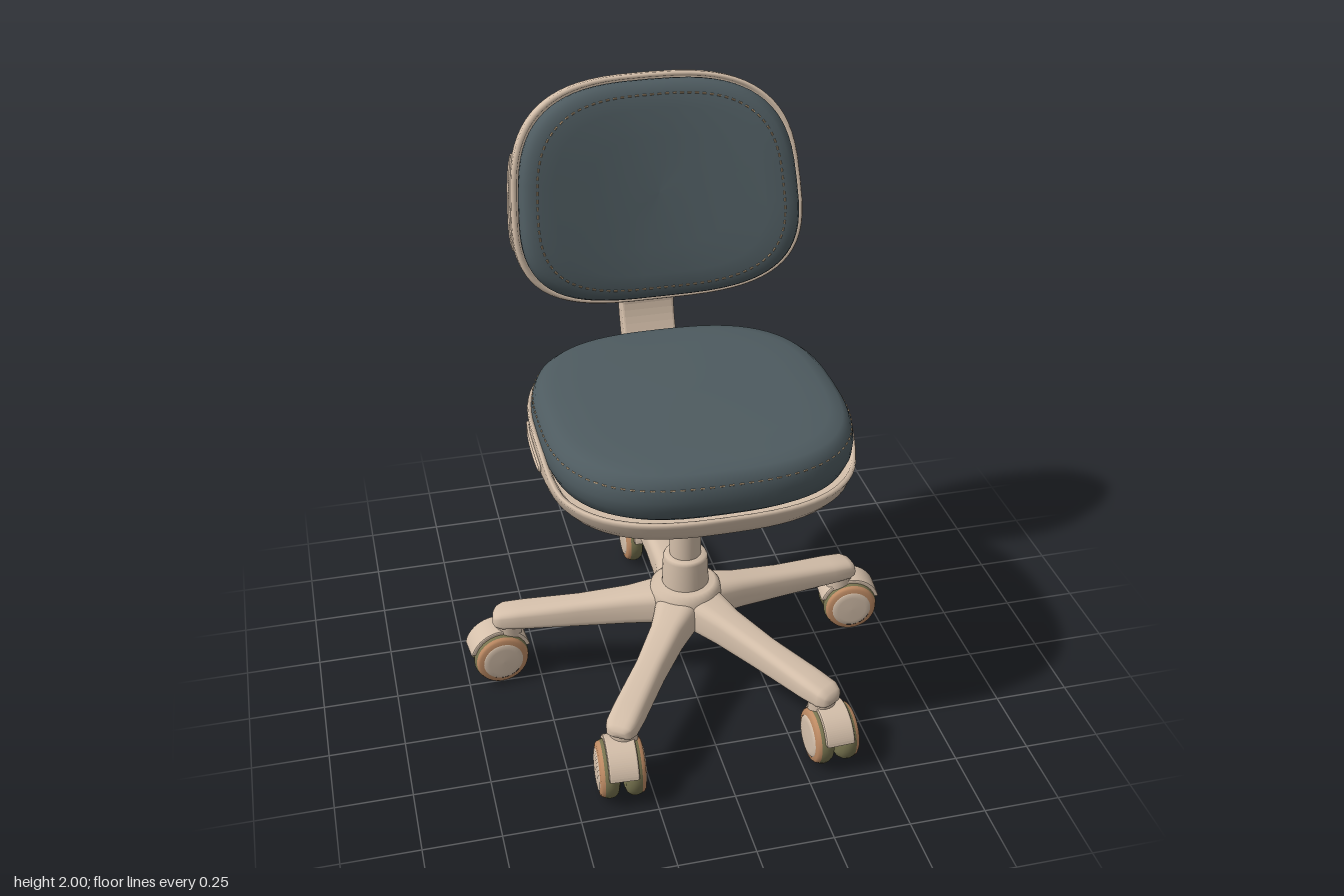
import * as THREE from 'three';
import { mergeGeometries } from 'three/addons/utils/BufferGeometryUtils.js';

const mat = (name, color) => new THREE.MeshStandardMaterial({ name, color });
const V = (x, y, z) => new THREE.Vector3(x, y, z);
const spow = (v, p) => Math.sign(v) * Math.pow(Math.abs(v), p);

export function createModel() {
  const beige = mat('beige plastic', 0xd4bfaa);
  const fabric = mat('slate fabric', 0x4e5b60);
  const orange = mat('orange grip', 0xb96d45);
  const olive = mat('olive tyre', 0x77734f);
  const tan = mat('tan rim', 0xbd8a63);
  const thread = mat('tan thread', 0xb59c7c);
  const root = new THREE.Group();
  root.name = 'deskChair';

  const add = (parent, name, geo, material, pos = [0, 0, 0], rot = [0, 0, 0]) => {
    const m = new THREE.Mesh(geo, material);
    m.name = name;
    m.position.set(...pos);
    m.rotation.set(...rot);
    parent.add(m);
    return m;
  };
  const lathe = (pts, seg = 36) =>
    new THREE.LatheGeometry(pts.map(([r, y]) => new THREE.Vector2(r, y)), seg);

  // Skin through closed rings; fn(ring, angle) gives a point
  const loft = (rings, fn, seg = 72) => {
    const pos = [], idx = [];
    rings.forEach((r, i) => {
      for (let j = 0; j < seg; j++) {
        pos.push(...fn(r, (j / seg) * Math.PI * 2));
        if (i === rings.length - 1) continue;
        const a = i * seg + j, b = i * seg + ((j + 1) % seg);
        idx.push(a, a + seg, b, b, a + seg, b + seg);
      }
    });
    const g = new THREE.BufferGeometry();
    g.setAttribute('position', new THREE.Float32BufferAttribute(pos, 3));
    g.setIndex(idx);
    g.computeVertexNormals();
    return g;
  };

  // Row of short thread dashes along a ring of a pad
  const stitches = (fn, ring, count) => {
    const path = [];
    for (let i = 0; i < 96; i++) path.push(V(...fn(ring, (i / 96) * Math.PI * 2)));
    const pts = new THREE.CatmullRomCurve3(path, true).getSpacedPoints(count * 2);
    const parts = [];
    for (let i = 0; i < count * 2; i += 2) {
      parts.push(new THREE.TubeGeometry(new THREE.LineCurve3(pts[i], pts[i + 1]), 1, 0.003, 4));
    }
    return mergeGeometries(parts);
  };

  // Raised rim of a side slot, following the shell wall
  const slot = (fn, n, mid, half, h, halfH, side) => {
    const path = [];
    for (let i = 0; i < 40; i++) {
      const a = (i / 40) * Math.PI * 2;
      const t = Math.asin(spow(mid + half * spow(Math.cos(a), 0.7), n / 2));
      path.push(V(...fn([1, h + halfH * spow(Math.sin(a), 0.5)], side > 0 ? t : Math.PI - t)));
    }
    return new THREE.TubeGeometry(new THREE.CatmullRomCurve3(path, true), 80, 0.005, 6, true);
  };

  // ---- Seat ----
  const seat = new THREE.Group();
  seat.name = 'seat';
  root.add(seat);
  const seatFn = (a, b) => ([s, h], t) => {
    const z = 0.13 + b * s * spow(Math.sin(t), 2 / 2.8);
    // the rim (h = 'rim' height offset above 2) is low at the front and high behind
    const rim = 0.99 + 0.075 * (1 - THREE.MathUtils.smoothstep(z, 0.18, 0.42));
    return [a * s * spow(Math.cos(t), 2 / 2.8), h > 1.5 ? rim + h - 2 : h, z];
  };
  const shellFn = seatFn(0.505, 0.5);
  add(seat, 'seatShell', loft([[0, 0.9], [0.6, 0.9], [0.85, 0.903], [0.93, 0.915], [0.97, 0.94],
    [0.99, 0.97], [1, 1.99], [0.995, 2], [0.975, 2], [0.96, 1.985], [0.93, 0.96], [0, 0.96]], shellFn), beige);
  const padFn = seatFn(0.492, 0.493);
  add(seat, 'seatCushion', loft([[0, 0.965], [0.9, 0.97], [0.965, 0.995], [0.995, 1.03], [1, 1.06], [0.993, 1.09],
    [0.97, 1.118], [0.93, 1.135], [0.85, 1.146], [0.65, 1.152], [0, 1.154]], padFn), fabric);
  add(seat, 'seatStitching', stitches(padFn, [0.986, 1.1], 110), thread);
  for (const s of [1, -1]) add(seat, 'seatSlotRim', slot(shellFn, 2.8, -0.08, 0.28, 0.995, 0.016, s), beige);

  // ---- Backrest: lofted flat, then stood up and tilted ----
  const back = new THREE.Group();
  back.name = 'backrest';
  back.position.set(0, 1.612, -0.48);
  back.rotation.x = Math.PI / 2 - 0.22;
  root.add(back);
  const backFn = (a, b) => ([s, h], t) => {
    const v = spow(Math.sin(t), 2 / 3) * s;
    const x = a * s * spow(Math.cos(t), 2 / 3) * (1 + 0.05 * v);
    return [x, h + 0.3 * x * x + (h > 0.1 ? 0.15 * (h - 0.06) * v : 0), b * v];
  };
  const backShell = backFn(0.478, 0.37);
  add(back, 'backShell', loft([[0, 0], [0.25, 0], [0.5, 0], [0.72, 0], [0.87, 0.008], [0.94, 0.025], [0.98, 0.05],
    [1, 0.08], [1, 0.12], [0.99, 0.13], [0.965, 0.13], [0.95, 0.11], [0.5, 0.1], [0, 0.1]], backShell), beige);
  const backPad = backFn(0.457, 0.352);
  add(back, 'backCushion', loft([[0.5, 0.105], [0.95, 0.11], [1, 0.135], [1, 0.155], [0.98, 0.175], [0.94, 0.19],
    [0.88, 0.199], [0.75, 0.205], [0.5, 0.206], [0.25, 0.206], [0, 0.206]], backPad), fabric);
  add(back, 'backStitching', stitches(backPad, [0.88, 0.2], 100), thread);
  for (const s of [1, -1]) add(back, 'backSlotRim', slot(backShell, 3, 0, 0.41, 0.078, 0.017, s), beige);

  // ---- Support bar from under the seat to the backrest ----
  const barPath = new THREE.CatmullRomCurve3([[0.1, 0.895], [-0.15, 0.893], [-0.32, 0.897], [-0.4, 0.935], [-0.45, 1.02],
    [-0.495, 1.13], [-0.503, 1.2], [-0.475, 1.29], [-0.46, 1.37], [-0.475, 1.52], [-0.492, 1.66]]
    .map(([z, y]) => V(z, y, 0)), false, 'centripetal');
  const left = [], right = [];
  for (let i = 0; i <= 48; i++) {
    const p = barPath.getPointAt(i / 48), d = barPath.getTangentAt(i / 48);
    const w = i > 34 ? 0.018 : 0.027;
    left.push(new THREE.Vector2(p.x - d.y * w, p.y + d.x * w));
    right.unshift(new THREE.Vector2(p.x + d.y * w, p.y - d.x * w));
  }
  const bar = new THREE.ExtrudeGeometry(new THREE.Shape([...left, ...right]),
    { depth: 0.166, bevelSize: 0.009, bevelThickness: 0.009, bevelSegments: 3 });
  bar.translate(0, 0, -0.083);
  bar.rotateY(-Math.PI / 2);
  add(root, 'backSupportBar', bar, beige);

  // ---- Column and seat mount ----
  const cz = 0.075;
  add(root, 'seatMount', lathe([[0, 0.73], [0.074, 0.73], [0.08, 0.74], [0.083, 0.84], [0.1, 0.858], [0.16, 0.868],
    [0.2, 0.882], [0.22, 0.905], [0, 0.91]]), beige, [0, 0, cz]);
  add(root, 'gasColumn', lathe([[0.053, 0.45], [0.053, 0.6], [0.046, 0.74]]), beige, [0, 0, cz]);
  add(root, 'columnCollar', lathe([[0.08, 0.37], [0.076, 0.48], [0.07, 0.492], [0.05, 0.494]]), beige, [0, 0, cz]);

  // ---- Height lever ----
  add(root, 'leverSocket', new THREE.CapsuleGeometry(0.034, 0.11, 6, 16), beige, [0.12, 0.802, 0.1], [0, 0, Math.PI / 2]);
  add(root, 'leverRod', new THREE.TubeGeometry(new THREE.CatmullRomCurve3([V(0.12, 0.81, 0.1), V(0.2, 0.808, 0.105),
    V(0.26, 0.78, 0.11), V(0.35, 0.772, 0.11)]), 24, 0.018, 10), beige);
  const grip = new THREE.CapsuleGeometry(0.035, 0.135, 8, 20);
  grip.rotateZ(Math.PI / 2);
  grip.scale(1, 1, 1.8);
  add(root, 'leverGrip', grip, orange, [0.41, 0.772, 0.105], [0.35, 0, 0]);

  // ---- Five-star base ----
  add(root, 'baseHub', lathe([[0, 0.24], [0.09, 0.24], [0.12, 0.27], [0.125, 0.33], [0.118, 0.365], [0.1, 0.38], [0, 0.386]]),
    beige, [0, 0, cz]);
  // stations: distance, half width, top, bottom
  const stations = [[0, 0, 0.3, 0.3], [0, 0.085, 0.37, 0.25], [0.15, 0.076, 0.36, 0.24], [0.3, 0.058, 0.338, 0.228],
    [0.55, 0.05, 0.312, 0.217], [0.85, 0.054, 0.288, 0.213], [0.95, 0.052, 0.278, 0.213], [0.985, 0.042, 0.265, 0.217],
    [1, 0.025, 0.25, 0.225], [1, 0, 0.238, 0.238]];

  const tyre = lathe([[0, 0], [0.068, 0], [0.085, 0.007], [0.094, 0.02], [0.096, 0.034], [0.093, 0.047], [0.089, 0.053]]);
  const rim = lathe([[0.091, 0.05], [0.088, 0.058], [0.082, 0.063], [0.069, 0.065]]);
  const cap = lathe([[0.07, 0.063], [0.066, 0.068], [0.05, 0.07], [0, 0.071]]);
  const hoodShape = new THREE.Shape();
  hoodShape.absarc(0, 0, 0.104, 0.3, Math.PI - 0.3, false);
  const hood = new THREE.ExtrudeGeometry(hoodShape,
    { depth: 0.084, bevelSize: 0.004, bevelThickness: 0.006, bevelSegments: 2, curveSegments: 20 });
  hood.translate(0, 0, -0.042);
  hood.rotateY(Math.PI / 2);

  // wheel centre x, z and the yaw of each castor
  const castors = [[0, -0.625, 0], [0.35, 0.63, 0.05], [-0.35, 0.63, -0.05],
    [0.638, -0.055, Math.PI / 2 - 0.1], [-0.638, -0.055, Math.PI / 2 + 0.1]];
  for (const [x, z, yaw] of castors) {
    const length = Math.hypot(x, z - cz) + 0.012;
    const leg = loft(stations, ([u, w, top, bot], t) => [
      w * spow(Math.cos(t), 0.55) * (1 + 0.14 * Math.sin(t)),
      u * length,
      -(top + bot) / 2 + ((top - bot) / 2) * spow(Math.sin(t), 0.55)], 28);
    leg.rotateX(Math.PI / 2);
    add(root, 'baseLeg', leg, beige, [0, 0, cz], [0, Math.atan2(x, z - cz), 0]);

    const castor = new THREE.Group();
    castor.name = 'castor';
    castor.position.set(x, 0.098, z);
    castor.rotation.y = yaw;
    root.add(castor);
    add(castor, 'castorHood', hood, beige);
    for (const s of [1, -1]) {
      const wheel = new THREE.Group();
      wheel.name = 'wheel';
      wheel.position.x = s * 0.009;
      wheel.rotation.z = -s * Math.PI / 2;
      castor.add(wheel);
      add(wheel, 'tyre', tyre, olive);
      add(wheel, 'wheelRim', rim, tan);
      add(wheel, 'wheelCap', cap, beige);
    }
    const k = 1 - 0.04 / length;
    add(root, 'castorStem', new THREE.CylinderGeometry(0.045, 0.045, 0.1, 20), beige, [x * k, 0.185, cz + (z - cz) * k]);
  }
  return root;
}
